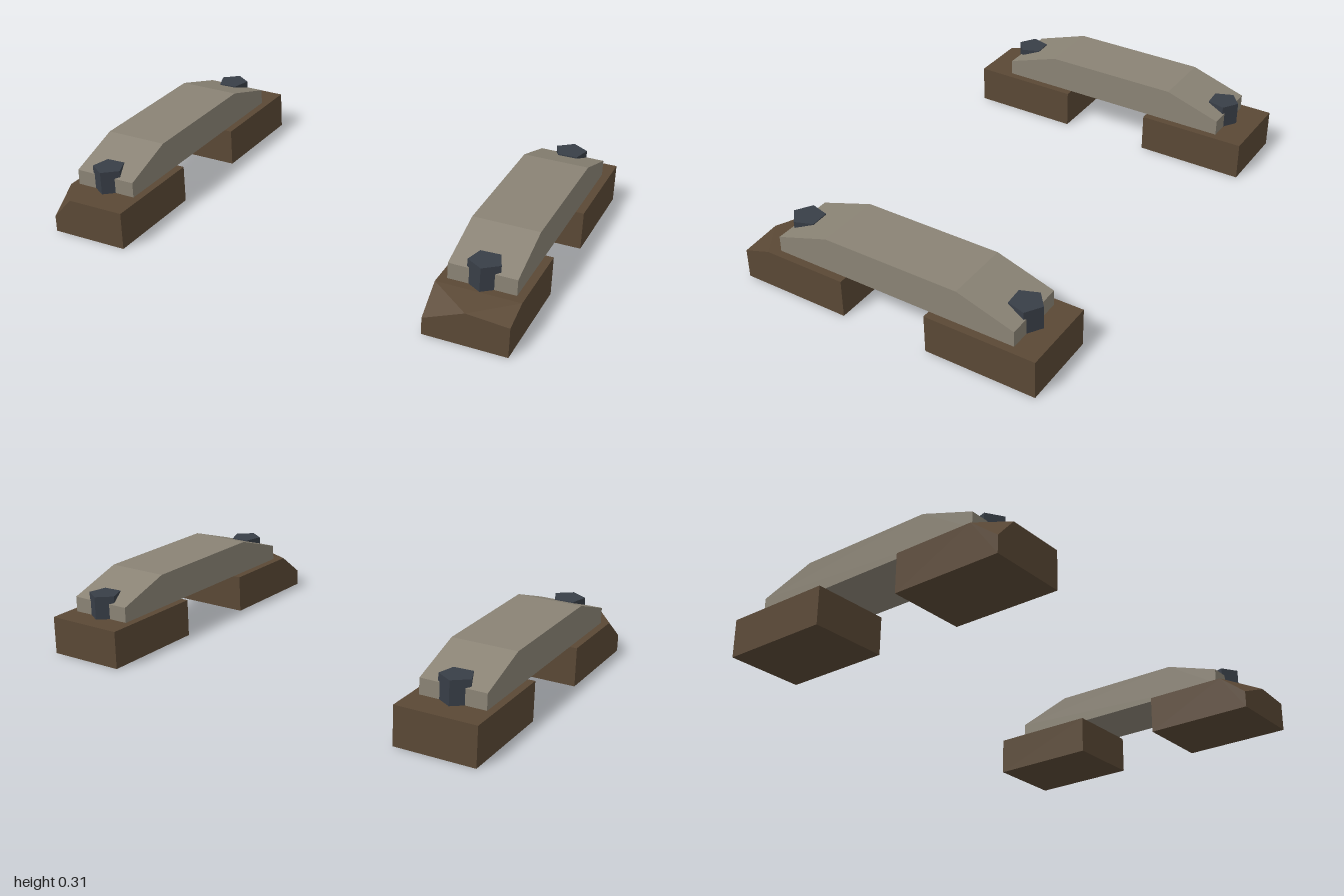
import * as THREE from 'three';
import { ConvexGeometry } from 'three/addons/geometries/ConvexGeometry.js';

const BLOCK_TOP = 0.163;

export function createModel() {
  const model = new THREE.Group();
  const material = (name, color) =>
    new THREE.MeshStandardMaterial({ name, color, flatShading: true });
  const wood = material('brown wood', 0x5a4835);
  const stone = material('grey strap', 0x8a8375);
  const iron = material('dark iron', 0x383e47);

  const add = (parent, name, geometry, mat) => {
    const mesh = new THREE.Mesh(geometry, mat);
    mesh.name = name;
    parent.add(mesh);
    return mesh;
  };

  // Wooden block; frontTop lists the corners replacing its front top edge
  const block = (parent, name, x0, x1, zBack, zFront, frontTop) => {
    const top = frontTop || [[x0, BLOCK_TOP, zFront], [x1, BLOCK_TOP, zFront]];
    const corners = [
      [x0, 0, zBack], [x1, 0, zBack], [x0, 0, zFront], [x1, 0, zFront],
      [x0, BLOCK_TOP, zBack], [x1, BLOCK_TOP, zBack], ...top,
    ];
    const geometry = new ConvexGeometry(corners.map((p) => new THREE.Vector3(...p)));
    return add(parent, name, geometry, wood);
  };

  // Strap profile in (z, y), extruded across x
  const strapShape = new THREE.Shape([
    [-0.546, BLOCK_TOP], [0.517, BLOCK_TOP], [0.517, 0.229],
    [0.283, 0.307], [-0.304, 0.307], [-0.546, 0.229],
  ].map(([z, y]) => new THREE.Vector2(-z, y)));
  const strapWidth = 0.272;
  const strapGeometry = new THREE.ExtrudeGeometry(strapShape, { depth: strapWidth, bevelEnabled: false });
  strapGeometry.translate(0, 0, -strapWidth / 2).rotateY(Math.PI / 2);

  // Five-sided bolt, standing on the block
  const boltHeight = 0.262 - BLOCK_TOP;
  const boltGeometry = new THREE.CylinderGeometry(0.068, 0.068, boltHeight, 5);

  for (const [side, x] of [['right', -0.834], ['left', 0.831]]) {
    const clamp = new THREE.Group();
    clamp.name = side + 'Clamp';
    model.add(clamp);

    add(clamp, 'strap', strapGeometry, stone).position.x = x;
    for (const [name, z, turn] of [['frontBolt', 0.485, 0.06], ['backBolt', -0.515, Math.PI + 0.06]]) {
      const bolt = add(clamp, name, boltGeometry, iron);
      bolt.position.set(x, BLOCK_TOP + boltHeight / 2, z);
      bolt.rotation.y = turn;
    }
  }

  // Right pair: one front corner is chipped off
  const [right, left] = model.children;
  block(right, 'backBlock', -1, -0.665, -0.675, -0.205);
  block(right, 'frontBlock', -1, -0.665, 0.19, 0.657, [
    [-1, BLOCK_TOP, 0.535], [-1, 0.07, 0.657],
    [-0.915, BLOCK_TOP, 0.657], [-0.665, BLOCK_TOP, 0.657],
  ]);

  // Left pair: the whole front edge is hewn into three facets
  block(left, 'backBlock', 0.662, 1, -0.653, -0.18);
  block(left, 'frontBlock', 0.662, 1, 0.2, 0.672, [
    [0.662, BLOCK_TOP, 0.555], [1, BLOCK_TOP, 0.555],
    [0.662, 0.07, 0.672], [0.828, 0.138, 0.672], [1, 0.125, 0.672],
  ]);

  return model;
}
